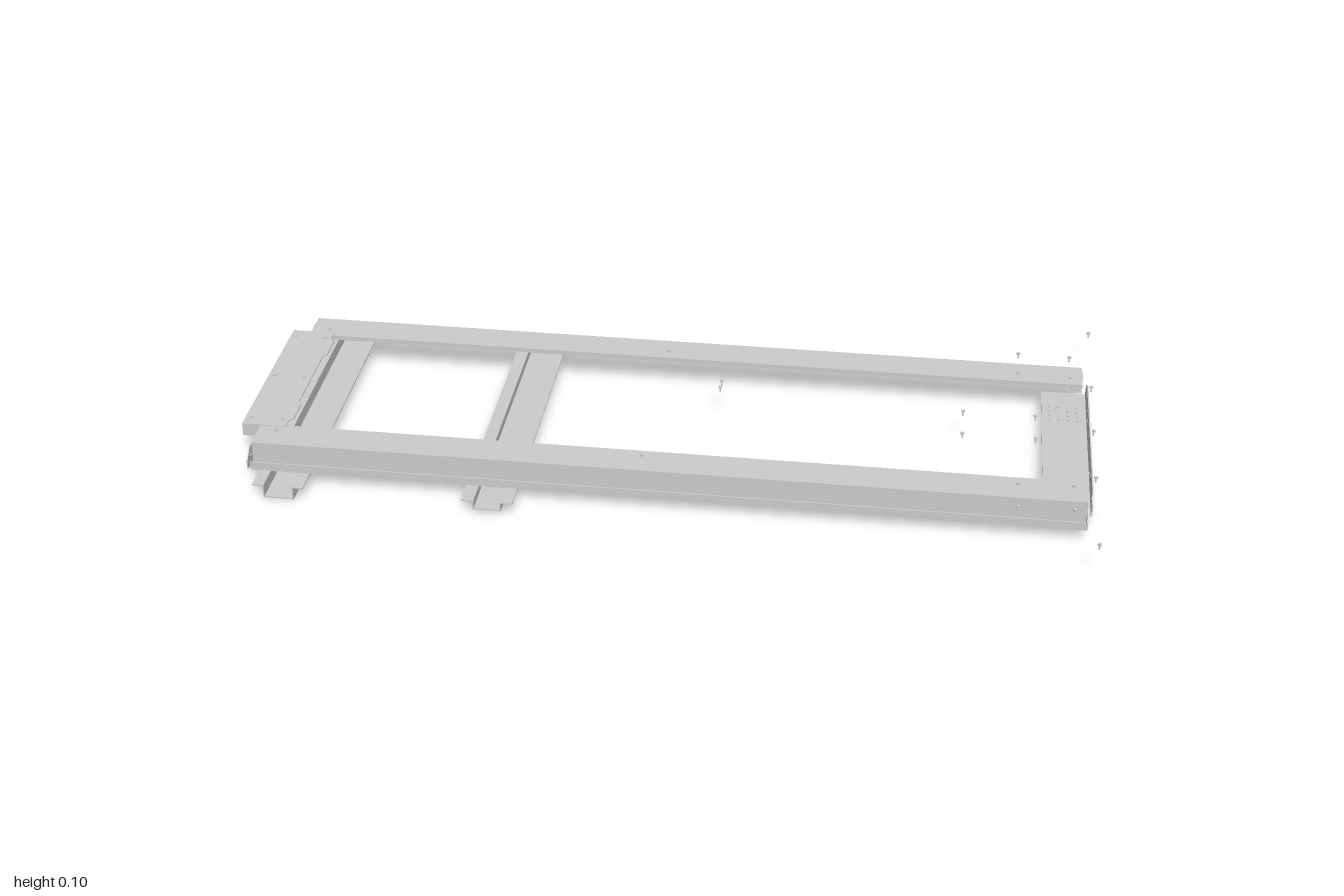
import * as THREE from 'three';

const metal = new THREE.MeshStandardMaterial({ color: 0xcccccc, side: THREE.DoubleSide, flatShading: true });
const T = 0.003; // sheet thickness

// Thicken an open polyline into a mitred bent-sheet outline
function sheetShape(points, t = T) {
  const p = points.map(([x, y]) => new THREE.Vector2(x, y));
  const normal = (a, b) => new THREE.Vector2(a.y - b.y, b.x - a.x).normalize();
  const inner = p.map((v, i) => {
    const n1 = normal(p[Math.max(i - 1, 0)], p[Math.max(i, 1)]);
    const n2 = normal(p[Math.min(i, p.length - 2)], p[Math.min(i + 1, p.length - 1)]);
    return n1.clone().add(n2).multiplyScalar(t / (1 + n1.dot(n2))).add(v);
  });
  return new THREE.Shape([...p, ...inner.reverse()]);
}

function plateShape(points, holes = []) {
  const shape = new THREE.Shape(points.map(([x, y]) => new THREE.Vector2(x, y)));
  for (const [x, y, r] of holes) shape.holes.push(new THREE.Path().absarc(x, y, r, 0, Math.PI * 2, true));
  return shape;
}

function mesh(geometry, name) {
  const m = new THREE.Mesh(geometry, metal);
  m.name = name;
  return m;
}

// Extrude a (z, y) outline from x0 to x1
function alongX(shape, x0, x1, name) {
  const g = new THREE.ExtrudeGeometry(shape, { depth: x1 - x0, bevelEnabled: false, curveSegments: 6 });
  return mesh(g.rotateY(-Math.PI / 2).translate(x1, 0, 0), name);
}

// Extrude an (x, y) outline centred along z
function alongZ(shape, length, name) {
  const g = new THREE.ExtrudeGeometry(shape, { depth: length, bevelEnabled: false, curveSegments: 6 });
  return mesh(g.translate(0, 0, -length / 2), name);
}

// Flat horizontal sheet from an (x, z) outline
function flat(shape, top, name) {
  const g = new THREE.ExtrudeGeometry(shape, { depth: T, bevelEnabled: false, curveSegments: 5 });
  return mesh(g.rotateX(Math.PI / 2).translate(0, top, 0), name);
}

function box(w, h, d, x, y, z, name) {
  return mesh(new THREE.BoxGeometry(w, h, d).translate(x, y, z), name);
}

const rect = (a, b, c, d) => [[a, b], [c, b], [c, d], [a, d]];

function rail(s) {
  const g = new THREE.Group();
  g.name = s > 0 ? 'leftRail' : 'rightRail';
  // Short inner lip, top flange, web, foot and outer lip
  const profile = [[0.215, 0.078], [0.215, 0.088], [0.298, 0.088], [0.298, 0.032], [0.32, 0.032], [0.32, 0.05]];
  let pts = profile.map(([z, y]) => [s * z, y]);
  if (s < 0) pts = pts.reverse();
  g.add(alongX(sheetShape(pts, -T), -0.955, 0.97, 'railChannel'));
  // Chamfered end brackets
  const bracket = [[0.27, 0.032], [0.325, 0.032], [0.325, 0.055], [0.303, 0.075], [0.27, 0.08]];
  for (const x of [-0.962, 0.97]) {
    const shape = plateShape(bracket.map(([z, y]) => [s * z, y]), [[s * 0.298, 0.055, 0.004]]);
    g.add(alongX(shape, x, x + T, 'endBracket'));
    const inward = x < 0 ? 0.014 : -0.011;
    g.add(box(0.025, 0.045, T, x + inward, 0.056, s * 0.271, 'bracketFlange'));
  }
  // Fixing blocks inside the web
  for (let i = 0; i < 7; i++) g.add(box(0.022, 0.012, 0.008, -0.72 + i * 0.25, 0.052, s * 0.29, 'fixingBlock'));
  return g;
}

function crossBeam(name, x, bottom, half) {
  const g = new THREE.Group();
  g.name = name;
  // Upward-opening hat section
  const hat = [[-0.06, 0.03], [-half, 0.03], [-half, bottom], [half, bottom], [half, 0.03], [0.06, 0.03]];
  const beam = alongZ(sheetShape(hat.map(([u, v]) => [x + u, v]).reverse(), T), 0.775, 'hatSection');
  beam.geometry.translate(0, 0, -0.002);
  g.add(beam);
  return g;
}

function endChannel() {
  const g = new THREE.Group();
  g.name = 'endChannel';
  // Floor with perforation clusters
  const holes = [];
  for (const s of [-1, 1])
    for (let i = 0; i < 4; i++)
      for (let j = 0; j < 4; j++) holes.push([0.893 + i * 0.022, s * (0.135 + j * 0.02), 0.003]);
  g.add(flat(plateShape(rect(0.875, -0.265, 0.985, 0.265), holes), 0.033, 'channelFloor'));
  // Upright wall
  const wallHoles = [];
  for (const s of [-1, 1]) wallHoles.push([s * 0.24, 0.063, 0.005], [s * 0.147, 0.063, 0.005], [s * 0.115, 0.052, 0.005]);
  const wall = [[-0.265, 0.031], [0.265, 0.031], [0.265, 0.06], [0.225, 0.078], [-0.225, 0.078], [-0.265, 0.06]];
  g.add(alongX(plateShape(wall, wallHoles), 0.982, 0.985, 'channelWall'));
  return g;
}

function endPlate() {
  const g = new THREE.Group();
  g.name = 'endPlate';
  const outline = [[-1, -0.226], [-0.895, -0.226], [-0.895, -0.195], [-0.885, -0.185], [-0.885, -0.12], [-0.893, -0.11],
    [-0.893, 0.11], [-0.885, 0.12], [-0.885, 0.185], [-0.895, 0.195], [-0.895, 0.222], [-1, 0.222]];
  g.add(flat(plateShape(outline), 0.09, 'plateTop'));
  g.add(box(T, 0.033, 0.448, -0.9985, 0.0735, -0.002, 'plateLip'));
  for (const z of [-0.2245, 0.2205]) g.add(box(0.1, 0.033, T, -0.948, 0.0735, z, 'plateSideLip'));
  return g;
}

function bolts() {
  const g = new THREE.Group();
  g.name = 'bolts';
  const mirrored = [[0.815, 0.34], [0.94, 0.337], [0.815, 0.247], [0.94, 0.24], [0.99, 0.466], [0.99, 0.2], [0.685, 0.05],
    [0.855, 0.05], [-0.045, 0.24], [-0.91, 0.242], [-0.985, 0.195], [-0.91, 0.195]];
  const spots = [[0.99, 0], [-0.985, 0], [-0.91, 0], [0.1, -0.115], [0.1, -0.085]];
  for (const [x, z] of mirrored) spots.push([x, z], [x, -z]);
  const head = new THREE.CylinderGeometry(0.0045, 0.0045, 0.004, 8);
  const shank = new THREE.CylinderGeometry(0.002, 0.002, 0.012, 6);
  for (const [x, z] of spots) {
    const b = new THREE.Group();
    b.name = 'bolt';
    const h = mesh(head, 'boltHead'), s = mesh(shank, 'boltShank');
    h.position.y = 0.093;
    s.position.y = 0.086;
    b.add(h, s);
    b.position.set(x, 0, z);
    g.add(b);
  }
  return g;
}

export function createModel() {
  const model = new THREE.Group();
  model.name = 'baseFrame';
  model.add(rail(1), rail(-1));
  model.add(crossBeam('endCrossBeam', -0.873, 0, 0.033), crossBeam('middleCrossBeam', -0.383, 0.01, 0.03));
  model.add(endChannel(), endPlate(), bolts());
  return model;
}
